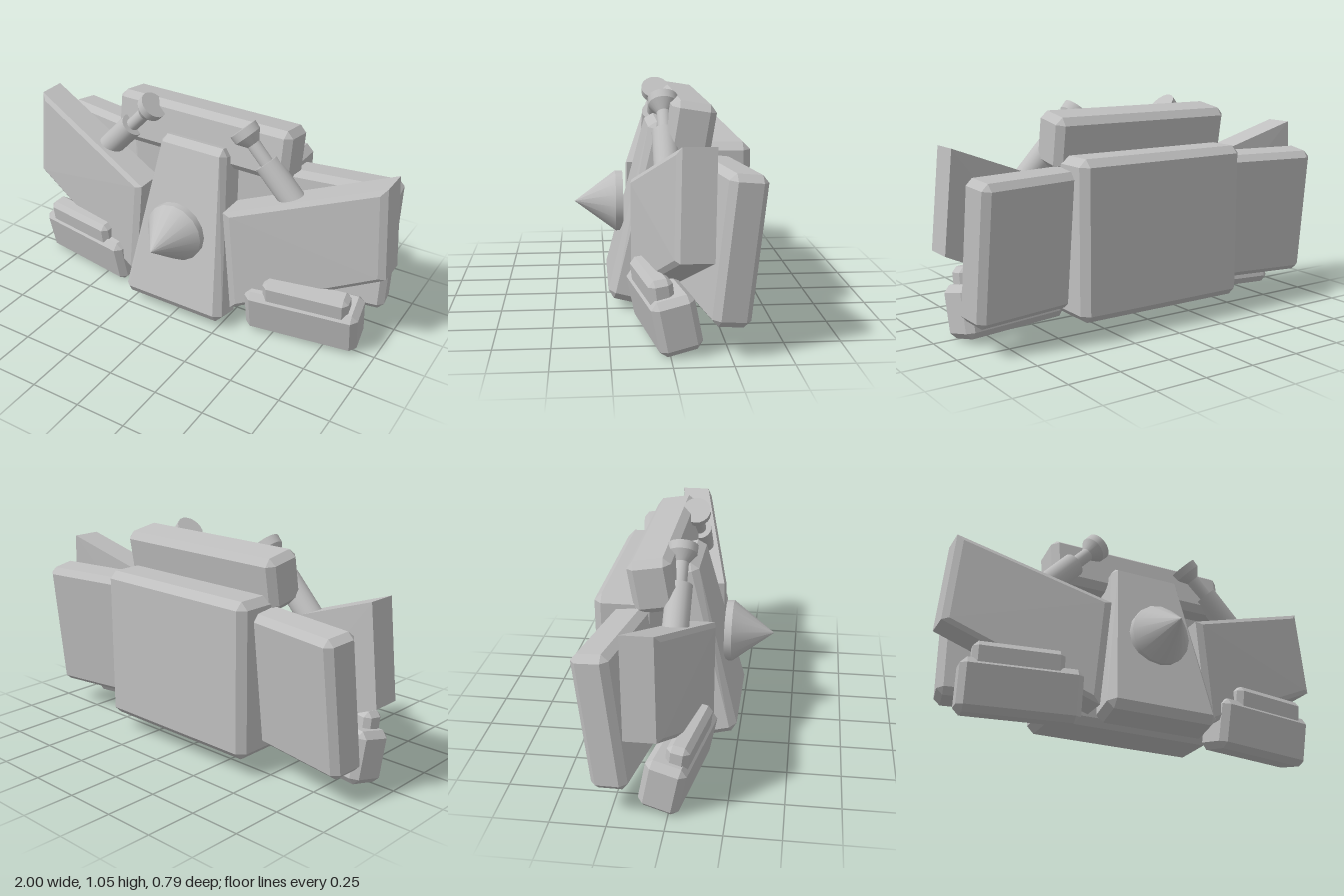
import * as THREE from 'three';
import { ConvexGeometry } from 'three/addons/geometries/ConvexGeometry.js';

const V = (x, y, z) => new THREE.Vector3(x, y, z);

// Box with chamfered edges and corners; taper narrows the top in x.
function chamferBox(w, h, d, c, taper = 1) {
  const pts = [];
  for (const sx of [-1, 1]) for (const sy of [-1, 1]) for (const sz of [-1, 1]) {
    for (const [a, b, e] of [[0, c, c], [c, 0, c], [c, c, 0]]) {
      const y = sy * (h / 2 - b);
      const k = THREE.MathUtils.lerp(1, taper, y / h + 0.5);
      pts.push(V(sx * (w / 2 - a) * k, y, sz * (d / 2 - e)));
    }
  }
  return new ConvexGeometry(pts);
}

// Slanted wing plate with a shallow raised front face.
function wingGeometry(s) {
  const front = [V(0.23, 0.63, 0.13), V(0.96, 0.9, -0.035), V(1, 0.44, -0.025), V(0.28, 0.1, 0.13)];
  const depth = [0.14, 0.14, 0.14, 0.14];
  const mid = front.reduce((m, p) => m.add(p), V(0, 0, 0)).multiplyScalar(0.25);
  const pts = [];
  front.forEach((p, i) => {
    pts.push(p, V(p.x, p.y, p.z - depth[i]));
    pts.push(p.clone().lerp(mid, 0.09).add(V(0.003, 0, 0.014)));
  });
  pts.forEach(p => { p.x *= s; });
  return new ConvexGeometry(pts);
}

export function createModel() {
  const group = new THREE.Group();
  const grey = new THREE.MeshStandardMaterial({ color: 0xbfbfbf });
  grey.name = 'plain grey';

  function add(name, geo, pos = [0, 0, 0], tilt = 0, yaw = 0) {
    const m = new THREE.Mesh(geo, grey);
    m.name = name;
    m.position.set(...pos);
    m.rotation.set(tilt, yaw, 0, 'YXZ');
    group.add(m);
    return m;
  }

  // Central body
  add('backBlock', chamferBox(0.9, 0.74, 0.29, 0.035), [0, 0.463, -0.25]);
  add('topBlock', chamferBox(0.95, 0.25, 0.2, 0.032), [0, 0.89, -0.126], -0.16);
  add('chestPlate', chamferBox(0.57, 0.86, 0.19, 0.035, 0.62), [0, 0.46, 0.053], -0.25);

  // Chest spike: flange and cone
  const spike = new THREE.LatheGeometry([[0, 0], [0.15, 0], [0.15, 0], [0.15, 0.035], [0.15, 0.035], [0, 0.235]]
    .map(([r, y]) => new THREE.Vector2(r, y)), 16);
  add('chestSpike', spike, [0, 0.48, 0.165], Math.PI / 2);

  for (const s of [1, -1]) {
    const side = s > 0 ? 'left' : 'right';

    // Plates
    add(side + 'BackPanel', chamferBox(0.58, 0.64, 0.17, 0.03), [s * 0.65, 0.46, -0.235], -0.11, s * 0.17);
    add(side + 'Wing', wingGeometry(s));

    // Feet with a small block on top
    add(side + 'Foot', chamferBox(0.56, 0.245, 0.19, 0.03), [s * 0.628, 0.139, 0.013], 0.2, s * 0.16);
    add(side + 'FootBlock', chamferBox(0.42, 0.13, 0.105, 0.025), [s * 0.657, 0.265, 0.065], 0.13, s * 0.16);

    // Cannon: thick sleeve, thin barrel, flared muzzle
    const cannon = new THREE.Group();
    cannon.name = side + 'Cannon';
    const start = V(s * 0.57, 0.665, -0.015), end = V(s * 0.245, 1.012, -0.015);
    const len = start.distanceTo(end);
    cannon.position.copy(start);
    cannon.quaternion.setFromUnitVectors(V(0, 1, 0), end.clone().sub(start).normalize());
    const pieces = [
      ['sleeve', 0.06, 0.06, 0, 0.285],
      ['barrel', 0.033, 0.033, 0.28, len - 0.07],
      ['muzzleFlare', 0.068, 0.033, len - 0.085, len - 0.04],
      ['muzzle', 0.07, 0.068, len - 0.04, len],
    ];
    for (const [name, top, bottom, a, b] of pieces) {
      const m = new THREE.Mesh(new THREE.CylinderGeometry(top, bottom, b - a, 20), grey);
      m.name = name;
      m.position.y = (a + b) / 2;
      cannon.add(m);
    }
    group.add(cannon);
  }
  return group;
}
